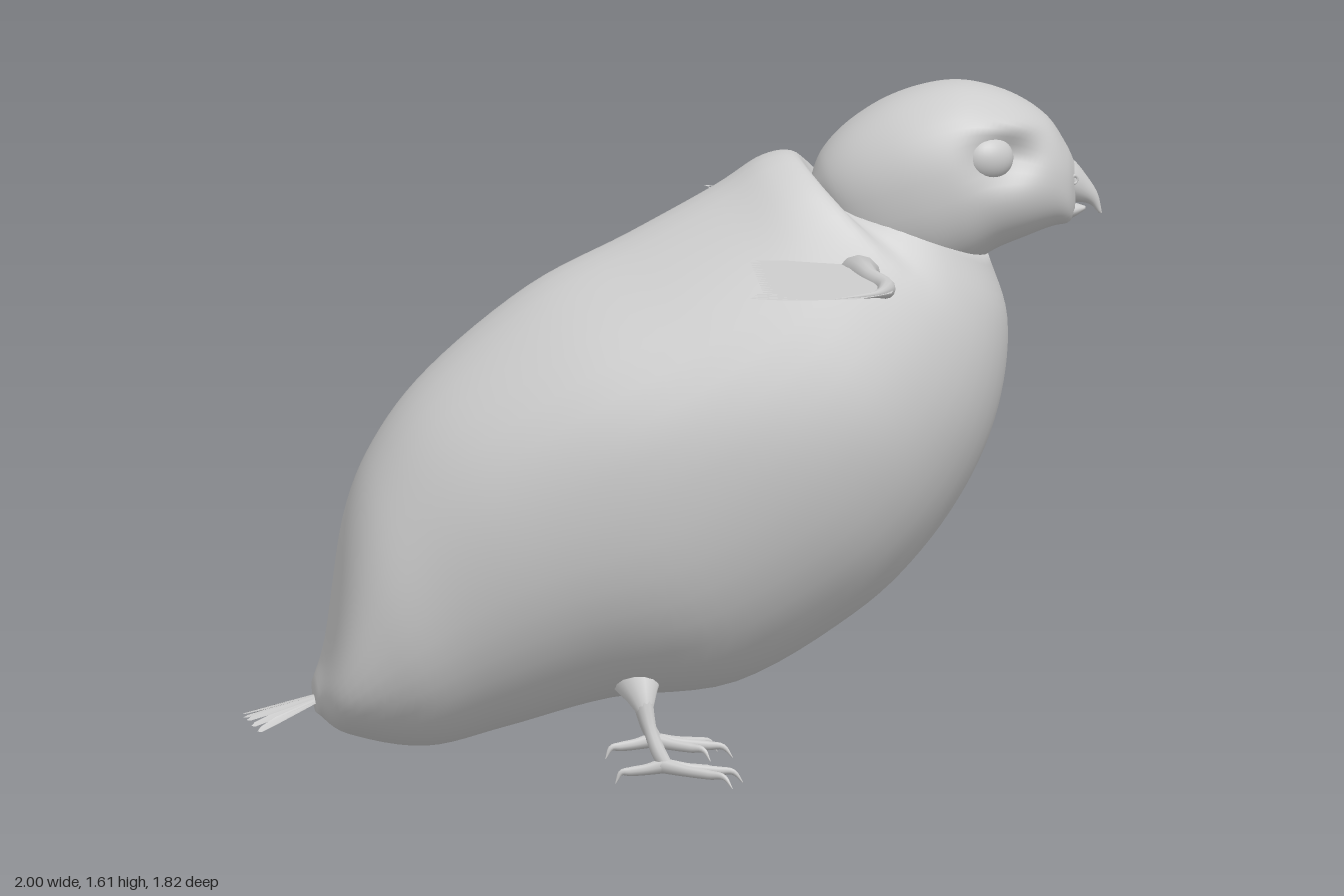
import * as THREE from 'three';

const plumage = new THREE.MeshStandardMaterial({ color: 0xcccccc, side: THREE.DoubleSide });
plumage.name = 'plain grey';

function add(parent, name, geometry) {
  const mesh = new THREE.Mesh(geometry, plumage);
  mesh.name = name;
  parent.add(mesh);
  return mesh;
}

// Smooth skin over sections [topX, topY, bottomX, bottomY, halfWidth]; adjust can reshape each point
function loft(sections, { rings = 48, sides = 40, power = 2, adjust } = {}) {
  const curve = pick => new THREE.CatmullRomCurve3(sections.map(pick), false, 'catmullrom', 0.5);
  const top = curve(s => new THREE.Vector3(s[0], s[1], s[4]));
  const bottom = curve(s => new THREE.Vector3(s[2], s[3], 0));
  const pos = [], index = [], p = new THREE.Vector3();
  const bend = v => Math.sign(v) * Math.abs(v) ** (2 / power);
  const centres = [];
  for (let i = 0; i <= rings; i++) {
    const t = top.getPoint(i / rings), b = bottom.getPoint(i / rings);
    centres.push([(t.x + b.x) / 2, (t.y + b.y) / 2, 0]);
    for (let j = 0; j < sides; j++) {
      const a = j / sides * Math.PI * 2, k = (1 + bend(Math.cos(a))) / 2;
      p.set(b.x + (t.x - b.x) * k, b.y + (t.y - b.y) * k, t.z * bend(Math.sin(a)));
      if (adjust) adjust(p);
      pos.push(p.x, p.y, p.z);
    }
  }
  const first = pos.length / 3;
  pos.push(...centres[0], ...centres[rings]);
  for (let j = 0; j < sides; j++) {
    const n = (j + 1) % sides, end = rings * sides;
    for (let i = 0; i < rings; i++) {
      const a = i * sides + j, b = i * sides + n;
      index.push(a, b, a + sides, b, b + sides, a + sides);
    }
    index.push(first, n, j, first + 1, end + j, end + n);
  }
  const g = new THREE.BufferGeometry();
  g.setAttribute('position', new THREE.Float32BufferAttribute(pos, 3));
  g.setIndex(index);
  g.computeVertexNormals();
  return g;
}

// Tube through points [x, y, z, radius], with its radius changing along the way
function limb(points, sides = 10, steps = 24) {
  const path = new THREE.CatmullRomCurve3(points.map(q => new THREE.Vector3(q[0], q[1], q[2])));
  const g = new THREE.TubeGeometry(path, steps, 1, sides);
  const pos = g.attributes.position, v = new THREE.Vector3();
  for (let i = 0; i <= steps; i++) {
    const c = path.getPointAt(i / steps);
    const u = path.getUtoTmapping(i / steps) * (points.length - 1);
    const k = Math.min(Math.floor(u), points.length - 2);
    const r = THREE.MathUtils.lerp(points[k][3], points[k + 1][3], u - k);
    for (let j = 0; j <= sides; j++) {
      const n = i * (sides + 1) + j;
      v.fromBufferAttribute(pos, n).sub(c).multiplyScalar(r).add(c);
      pos.setXYZ(n, v.x, v.y, v.z);
    }
  }
  return g;
}

// Flat outline of [x, z] points, laid out with a height rule
function sheet(outline, height) {
  const shape = new THREE.Shape(outline.map(q => new THREE.Vector2(q[0], -q[1])));
  const g = new THREE.ShapeGeometry(shape);
  const pos = g.attributes.position;
  for (let i = 0; i < pos.count; i++) {
    const x = pos.getX(i), z = -pos.getY(i);
    pos.setXYZ(i, x, height(x, z), z);
  }
  g.computeVertexNormals();
  return g;
}

function buildWing() {
  const wing = new THREE.Group();
  // Leading edge out to the tip
  const outline = [[0.38, 0.27], [0.43, 0.26], [0.44, 0.4], [0.465, 0.5], [0.485, 0.6], [0.47, 0.7],
    [0.42, 0.78], [0.38, 0.83], [0.28, 0.88], [0.2, 0.91]];
  // Long wingtip feathers, then the short trailing ones
  for (let k = 0; k < 4; k++) {
    outline.push([0.13 + 0.006 * k, 0.908 - 0.024 * k], [0.135 + 0.006 * k, 0.895 - 0.024 * k],
      [0.25 - 0.016 * k, 0.884 - 0.024 * k]);
  }
  for (let z = 0.8; z > 0.3; z -= 0.036) {
    outline.push([0.166, z], [0.166, z - 0.014], [0.192, z - 0.022]);
  }
  outline.push([0.18, 0.275], [0.27, 0.25]);
  add(wing, 'wingFeathers', sheet(outline, x => 1.22 + (0.45 - x) * 0.06));
  add(wing, 'wingArm', limb([[0.44, 1.16, 0.14, 0.1], [0.42, 1.185, 0.24, 0.062], [0.425, 1.207, 0.33, 0.034],
    [0.435, 1.215, 0.44, 0.024], [0.462, 1.213, 0.56, 0.024], [0.46, 1.217, 0.64, 0.02],
    [0.43, 1.222, 0.74, 0.008], [0.33, 1.227, 0.845, 0.001]], 12, 36));
  return wing;
}

function buildLeg() {
  const leg = new THREE.Group();
  add(leg, 'thigh', limb([[-0.1, 0.34, 0.1, 0.1], [-0.09, 0.25, 0.145, 0.068],
    [-0.078, 0.2, 0.165, 0.036], [-0.07, 0.165, 0.175, 0.018]], 14));
  add(leg, 'shank', limb([[-0.078, 0.21, 0.17, 0.025], [-0.06, 0.13, 0.185, 0.016],
    [-0.04, 0.075, 0.2, 0.018], [-0.02, 0.04, 0.207, 0.016]]));
  // Three front toes and one hind toe, each ending in a hooked claw
  for (const [x, z] of [[0.155, 0.2], [0.125, 0.295], [0.1, 0.145], [-0.14, 0.195]]) {
    const at = (f, y, r) => [-0.03 + (x + 0.03) * f, y, 0.207 + (z - 0.207) * f, r];
    add(leg, 'toe', limb([at(0, 0.045, 0.018), at(0.35, 0.036, 0.013), at(0.68, 0.031, 0.011),
      at(0.88, 0.028, 0.007), at(1, 0.003, 0.001)], 8));
  }
  return leg;
}

export function createModel() {
  const bird = new THREE.Group();
  bird.name = 'bird';

  // Body, with the shoulders narrowing towards the nape
  add(bird, 'body', loft([
    [-0.83, 0.22, -0.825, 0.15, 0.09], [-0.8, 0.32, -0.75, 0.1, 0.2], [-0.76, 0.6, -0.57, 0.07, 0.27],
    [-0.69, 0.78, -0.38, 0.115, 0.31], [-0.56, 0.95, -0.14, 0.18, 0.355], [-0.33, 1.14, 0.15, 0.215, 0.39],
    [-0.1, 1.26, 0.42, 0.37, 0.398], [0.1, 1.37, 0.58, 0.52, 0.385], [0.21, 1.44, 0.7, 0.7, 0.352],
    [0.29, 1.445, 0.765, 0.88, 0.315], [0.335, 1.37, 0.78, 1.06, 0.275], [0.38, 1.37, 0.735, 1.21, 0.235],
  ], {
    rings: 66, power: 2.1,
    adjust: p => { p.z *= 1 - 0.22 * THREE.MathUtils.smoothstep(p.y, 0.78, 1.4); },
  }));

  // Head with sunken eye sockets and a brow above each
  const bump = (p, x, y, sx, sy) => Math.exp(-(((p.x - x) / sx) ** 2) - ((p.y - y) / sy) ** 2);
  add(bird, 'head', loft([
    [0.322, 1.38, 0.34, 1.34, 0.06], [0.35, 1.45, 0.42, 1.2, 0.135], [0.41, 1.515, 0.5, 1.15, 0.18],
    [0.5, 1.572, 0.6, 1.15, 0.208], [0.6, 1.605, 0.68, 1.18, 0.214], [0.69, 1.61, 0.75, 1.222, 0.2],
    [0.79, 1.582, 0.82, 1.25, 0.17], [0.87, 1.53, 0.88, 1.272, 0.13], [0.915, 1.465, 0.92, 1.28, 0.088],
    [0.938, 1.415, 0.935, 1.3, 0.04],
  ], {
    rings: 60, sides: 56, power: 2.3,
    adjust: p => {
      const d = 0.014 * bump(p, 0.77, 1.525, 0.09, 0.025) - 0.045 * bump(p, 0.775, 1.45, 0.075, 0.05);
      p.z += Math.sign(p.z) * d * THREE.MathUtils.smoothstep(Math.abs(p.z), 0.04, 0.12);
    },
  }));

  // Hooked upper beak over a short lower one
  add(bird, 'upperBeak', loft([
    [0.88, 1.45, 0.88, 1.32, 0.07], [0.93, 1.428, 0.93, 1.325, 0.052], [0.966, 1.385, 0.956, 1.325, 0.03],
    [0.99, 1.345, 0.975, 1.318, 0.014], [1, 1.3, 0.992, 1.3, 0.003],
  ], { rings: 20, sides: 20 }));
  add(bird, 'lowerBeak', loft([
    [0.88, 1.33, 0.88, 1.275, 0.065], [0.93, 1.325, 0.93, 1.29, 0.038], [0.962, 1.316, 0.96, 1.307, 0.008],
  ], { rings: 12, sides: 20 }));

  // Gently arched fan of tail feathers
  const tail = new THREE.Group();
  tail.name = 'tail';
  bird.add(tail);
  for (let k = 0; k < 9; k++) {
    const s = (k - 4) / 4, tipX = -0.995 + 0.03 * s * s, tipZ = 0.105 * s;
    const at = (f, w) => [-0.79 + (tipX + 0.79) * f, 0.03 * s + (tipZ - 0.03 * s) * f + w];
    add(tail, 'tailFeather', sheet(
      [at(0, -0.01), at(0.75, -0.014), at(0.95, -0.009), at(1, 0), at(0.95, 0.009), at(0.75, 0.014), at(0, 0.01)],
      (x, z) => 0.197 + (x + 0.79) * 0.26 - 3 * z * z - 0.002 * (k % 2)));
  }

  // Paired parts
  for (const [side, sign] of [['right', 1], ['left', -1]]) {
    const half = new THREE.Group();
    half.name = side + 'Side';
    half.scale.z = sign;
    bird.add(half);
    const wing = buildWing(), leg = buildLeg();
    wing.name = side + 'Wing';
    leg.name = side + 'Leg';
    half.add(wing, leg);
    const eye = add(half, side + 'Eye', new THREE.SphereGeometry(1, 28, 20));
    eye.position.set(0.727, 1.452, 0.152);
    eye.scale.set(0.061, 0.052, 0.042);
    eye.rotation.y = 0.35;
    const nostril = add(half, side + 'Nostril', new THREE.TorusGeometry(0.009, 0.004, 8, 16));
    nostril.position.set(0.932, 1.385, 0.048);
    nostril.rotation.y = 0.7;
  }
  return bird;
}
